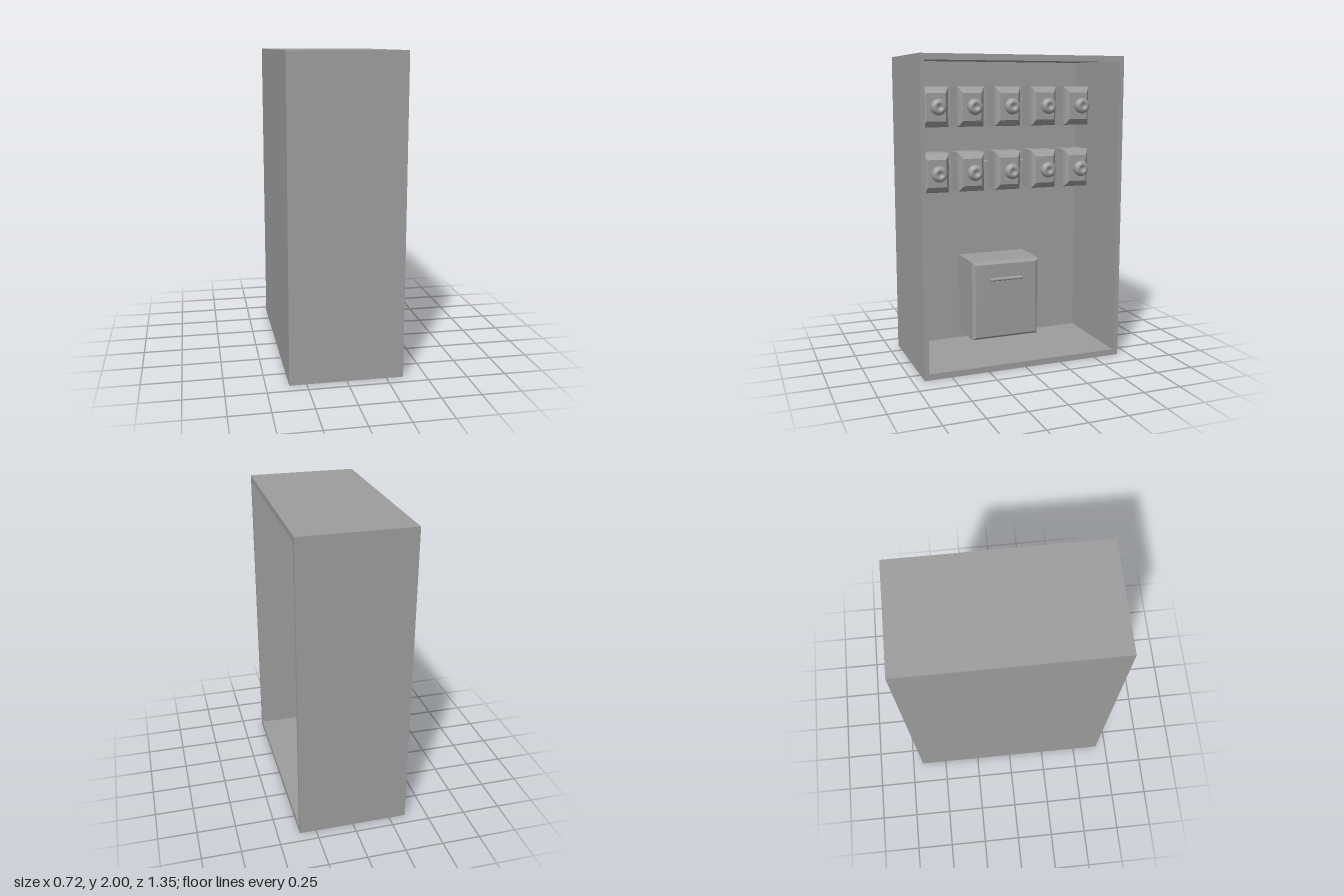
import * as THREE from 'three';

const material = new THREE.MeshStandardMaterial({ color: 0x9d9d9d, flatShading: true });
const smooth = new THREE.MeshStandardMaterial({ color: 0x9d9d9d });

// Skin a closed solid over rectangular rings [x, yMin, yMax, zMin, zMax].
// Rings may fold back along x to form lips and pockets.
function loft(rings) {
  const loops = rings.map(([x, y0, y1, z0, z1]) => [[x, y0, z1], [x, y0, z0], [x, y1, z0], [x, y1, z1]]);
  const pos = [];
  const quad = (a, b, c, d) => pos.push(...a, ...b, ...c, ...a, ...c, ...d);
  for (let k = 0; k + 1 < loops.length; k++) {
    const a = loops[k], b = loops[k + 1];
    for (let i = 0; i < 4; i++) {
      const j = (i + 1) % 4;
      quad(a[i], a[j], b[j], b[i]);
    }
  }
  const first = loops[0], last = loops[loops.length - 1];
  quad(first[3], first[2], first[1], first[0]);
  quad(...last);
  const geometry = new THREE.BufferGeometry();
  geometry.setAttribute('position', new THREE.Float32BufferAttribute(pos, 3));
  geometry.computeVertexNormals();
  return geometry;
}

function add(parent, name, geometry, x = 0, y = 0, z = 0, mat = material) {
  const mesh = new THREE.Mesh(geometry, mat);
  mesh.name = name;
  mesh.position.set(x, y, z);
  parent.add(mesh);
  return mesh;
}

export function createModel() {
  const model = new THREE.Group();
  model.name = 'switchCabinet';

  // Cabinet shell, open towards +x, with a narrow lip round the opening
  add(model, 'cabinetShell', loft([
    [-0.358, 0, 2, -0.677, 0.677],
    [0.358, 0, 2, -0.677, 0.677],
    [0.358, 0.04, 1.962, -0.648, 0.648],
    [0.333, 0.04, 1.962, -0.648, 0.648],
    [0.333, 0.025, 1.975, -0.66, 0.66],
    [-0.302, 0.025, 1.975, -0.66, 0.66],
  ]));

  // Hat-section mounting rail: flanges on the back wall, raised centre
  const railShape = new THREE.Shape([
    [-0.302, -0.103], [-0.28, -0.103], [-0.28, -0.05], [-0.18, -0.05],
    [-0.18, 0.05], [-0.28, 0.05], [-0.28, 0.103], [-0.302, 0.103],
  ].map(([x, y]) => new THREE.Vector2(x, y)));
  const railGeometry = new THREE.ExtrudeGeometry(railShape, { depth: 1.31, bevelEnabled: false });
  railGeometry.translate(0, 0, -0.655);

  // Switch body: block with a steep rim and a shallow chamfered face
  const bodyGeometry = loft([
    [-0.18, -0.13, 0.13, -0.0925, 0.0925],
    [-0.045, -0.13, 0.13, -0.0925, 0.0925],
    [-0.025, -0.123, 0.123, -0.0855, 0.0855],
    [0, -0.09, 0.09, -0.064, 0.064],
  ]);

  // Turned knob with a flared neck and a dimpled end
  const knobProfile = [
    [0.034, -0.005], [0.034, 0.025], [0.044, 0.036], [0.052, 0.048], [0.053, 0.06],
    [0.047, 0.074], [0.036, 0.083], [0.022, 0.086], [0.017, 0.076], [0, 0.073],
  ].map(([r, h]) => new THREE.Vector2(r, h));
  const knobGeometry = new THREE.LatheGeometry(knobProfile, 28);
  knobGeometry.rotateZ(-Math.PI / 2);

  // Two rows of five switches
  for (const [row, y] of [['upper', 1.676], ['lower', 1.248]]) {
    add(model, row + 'Rail', railGeometry, 0, y);
    for (const z of [0.477, 0.234, -0.025, -0.285, -0.532]) {
      const unit = new THREE.Group();
      unit.name = row + 'Switch';
      unit.position.set(0, y, z);
      add(unit, 'switchBody', bodyGeometry);
      add(unit, 'switchKnob', knobGeometry, 0, 0.003, 0, smooth);
      model.add(unit);
    }
  }

  // Lower box with chamfered front and a slot for the pull
  add(model, 'lowerBox', loft([
    [-0.302, 0.09, 0.635, -0.24, 0.24],
    [-0.02, 0.09, 0.635, -0.24, 0.24],
    [-0.006, 0.096, 0.629, -0.234, 0.234],
    [0.004, 0.11, 0.615, -0.22, 0.22],
    [0.004, 0.495, 0.545, -0.117, 0.118],
    [-0.025, 0.495, 0.545, -0.117, 0.118],
  ]));
  const pull = new THREE.CylinderGeometry(0.012, 0.012, 0.235, 16);
  pull.rotateX(Math.PI / 2);
  add(model, 'boxPull', pull, 0.002, 0.508, 0.0005, smooth);

  return model;
}
